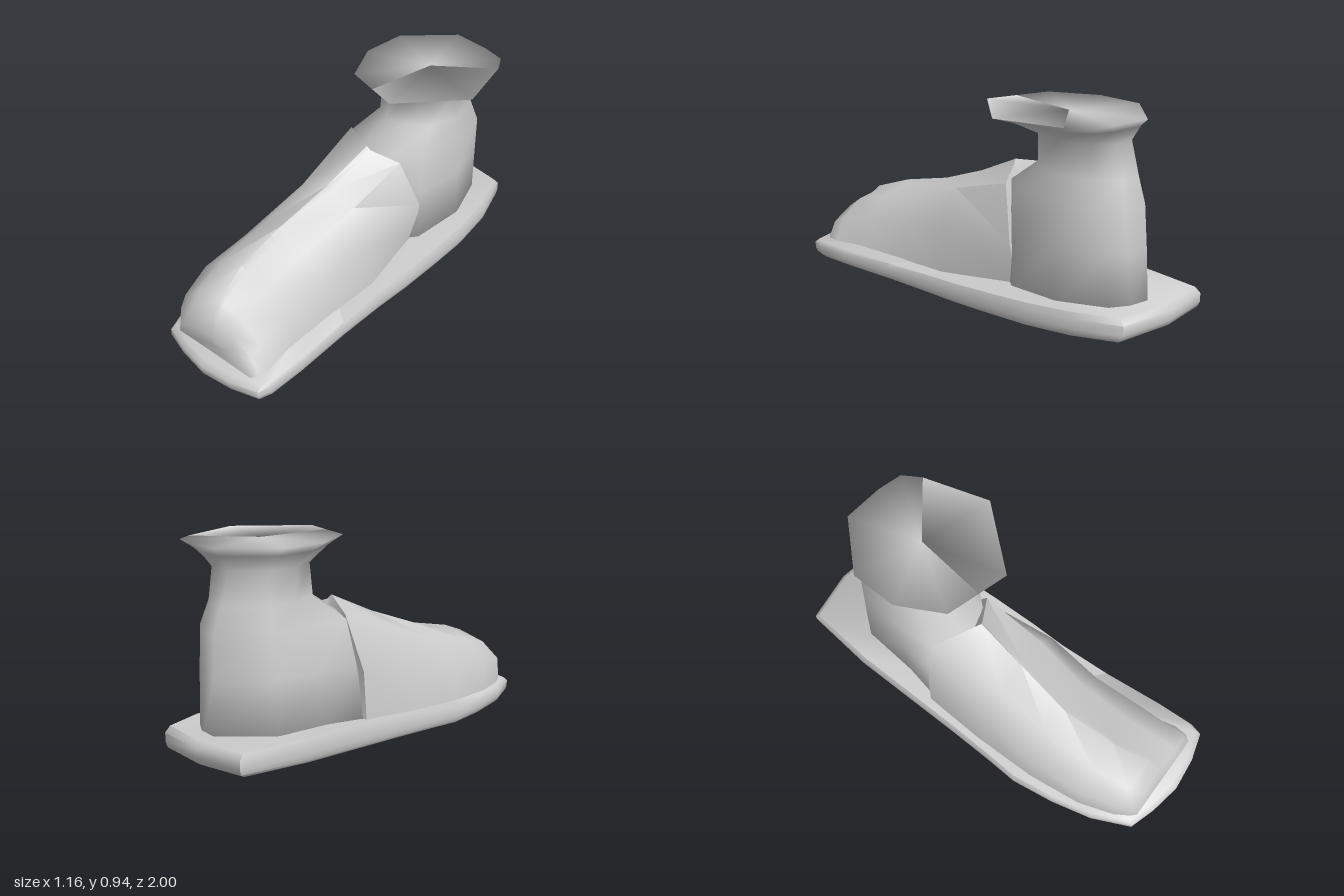
import * as THREE from 'three';
import { toCreasedNormals } from 'three/addons/utils/BufferGeometryUtils.js';

const grey = new THREE.MeshStandardMaterial({ color: 0xcccccc, side: THREE.DoubleSide });
grey.name = 'light grey';

// Skin closed rings of [x, y, z] points and close both ends with a fan.
function loft(name, rings, crease) {
  const n = rings[0].length;
  const points = rings.flat();
  const index = [];
  for (let i = 0; i < rings.length - 1; i++) {
    for (let j = 0; j < n; j++) {
      const k = (j + 1) % n;
      const a = i * n + j, b = i * n + k;
      index.push(a, b, b + n, a, b + n, a + n);
    }
  }
  const last = (rings.length - 1) * n;
  const middle = (ring) => [0, 1, 2].map((c) => ring.reduce((s, p) => s + p[c], 0) / n);
  const start = points.push(middle(rings[0])) - 1;
  const end = points.push(middle(rings[rings.length - 1])) - 1;
  for (let j = 0; j < n; j++) {
    const k = (j + 1) % n;
    index.push(start, k, j, end, last + j, last + k);
  }
  const geometry = new THREE.BufferGeometry();
  geometry.setAttribute('position', new THREE.Float32BufferAttribute(points.flat(), 3));
  geometry.setIndex(index);
  const mesh = new THREE.Mesh(toCreasedNormals(geometry, crease), grey);
  mesh.name = name;
  return mesh;
}

// Sole: one outline stacked in layers, thicker and lifted towards the heel.
function makeSole() {
  const outline = [
    [0.58, -0.77], [0.36, -0.92], [0.12, -1], [-0.05, -0.72], [-0.18, -0.45], [-0.3, -0.2],
    [-0.4, 0], [-0.48, 0.15], [-0.54, 0.35], [-0.58, 0.55], [-0.58, 0.75], [-0.48, 0.84],
    [-0.35, 0.93], [-0.2, 0.98], [-0.06, 1], [-0.02, 0.95], [0.05, 0.78], [0.15, 0.5],
    [0.25, 0.25], [0.33, 0.08], [0.42, -0.13], [0.5, -0.33], [0.56, -0.55],
  ];
  const bottom = (z) => (z > 0.2 ? 0.004 : 0.004 + (0.2 - z) * 0.042);
  const top = (z) => THREE.MathUtils.lerp(0.155, 0.08, THREE.MathUtils.smoothstep(z, -0.9, 0.6));
  const layers = [[0.97, 0], [0.99, 0.12], [1, 0.35], [1, 0.75], [0.975, 1]];
  return loft('sole', layers.map(([s, t]) => outline.map(([x, z]) =>
    [x * s, THREE.MathUtils.lerp(bottom(z), top(z), t), z * s])), 1.1);
}

// Front shell: slanted arches from toe to instep, with a step where the panels overlap.
// The last arch gives its own z, as its edge is cut back on both sides.
function makeVamp() {
  const arches = [
    [1.0, [-.53, .07], [-.52, .12], [-.46, .15], [-.33, .17], [-.22, .16], [-.14, .12], [-.11, .07]],
    [0.97, [-.54, .07], [-.53, .18], [-.46, .23], [-.33, .25], [-.21, .22], [-.12, .16], [-.08, .07]],
    [0.9, [-.55, .07], [-.54, .2], [-.46, .27], [-.32, .31], [-.2, .27], [-.1, .19], [-.05, .07]],
    [0.71, [-.53, .07], [-.52, .23], [-.42, .315], [-.29, .37], [-.15, .32], [-.04, .22], [-.01, .07]],
    [0.42, [-.45, .07], [-.43, .25], [-.32, .37], [-.2, .43], [-.05, .38], [.05, .26], [.08, .07]],
    [0.12, [-.34, .08], [-.31, .3], [-.2, .47], [-.06, .53], [.09, .48], [.18, .32], [.19, .08]],
    [0, [-.185, .1, -.33], [-.17, .35, -.33], [-.08, .6, -.32], [.06, .64, -.12],
      [.22, .57, -.13], [.31, .32, -.18], [.28, .11, -.21]],
  ];
  return loft('vamp', arches.map(([z, ...arch]) => {
    const [x, y, edge] = arch[3];
    arch.splice(4, 0, [x + 0.02, y - 0.02, edge]);
    return arch.map((p) => [p[0], p[1], p[2] ?? z + 0.45 * p[0]]);
  }), 1.1);
}

// Heel and ankle, flaring into a wide flat collar.
function makeAnkle() {
  const heel = [[.46, -.68], [.41, -.76], [.33, -.815], [.08, -.7], [-.05, -.48],
    [-.175, -.31], [-.02, -.12], [.2, -.13], [.31, -.19], [.44, -.43]];
  const instep = [[.475, -.62], [.42, -.72], [.33, -.785], [.1, -.69], [0, -.5],
    [-.085, -.32], [0, -.18], [.17, -.14], [.31, -.2], [.43, -.42]];
  const shin = [[.44, -.6], [.39, -.7], [.31, -.75], [.12, -.68], [.06, -.54],
    [.04, -.4], [.1, -.31], [.2, -.28], [.32, -.31], [.41, -.42]];
  const neck = [[.43, -.58], [.38, -.67], [.29, -.71], [.13, -.66], [.06, -.54],
    [.05, -.41], [.11, -.32], [.2, -.28], [.32, -.31], [.41, -.42]];
  const rim = [[.57, -.6], [.48, -.68], [.32, -.78], [.05, -.68], [-.05, -.48],
    [-.04, -.24], [.08, -.13], [.19, -.03], [.53, -.18], [.58, -.5]];
  const mix = (a, b, t) => a.map((p, i) => p.map((v, c) => THREE.MathUtils.lerp(v, b[i][c], t)));
  const levels = [
    [0.1, heel], [0.38, mix(heel, instep, 0.5)], [0.58, instep], [0.69, shin], [0.84, neck],
    [0.905, mix(neck, rim, 0.55)], [0.94, rim],
  ];
  return loft('ankleAndCollar', levels.map(([y, ring]) => ring.map(([x, z]) => [x, y, z])), 3);
}

export function createModel() {
  const boot = new THREE.Group();
  boot.name = 'boot';
  boot.add(makeSole(), makeVamp(), makeAnkle());
  return boot;
}
